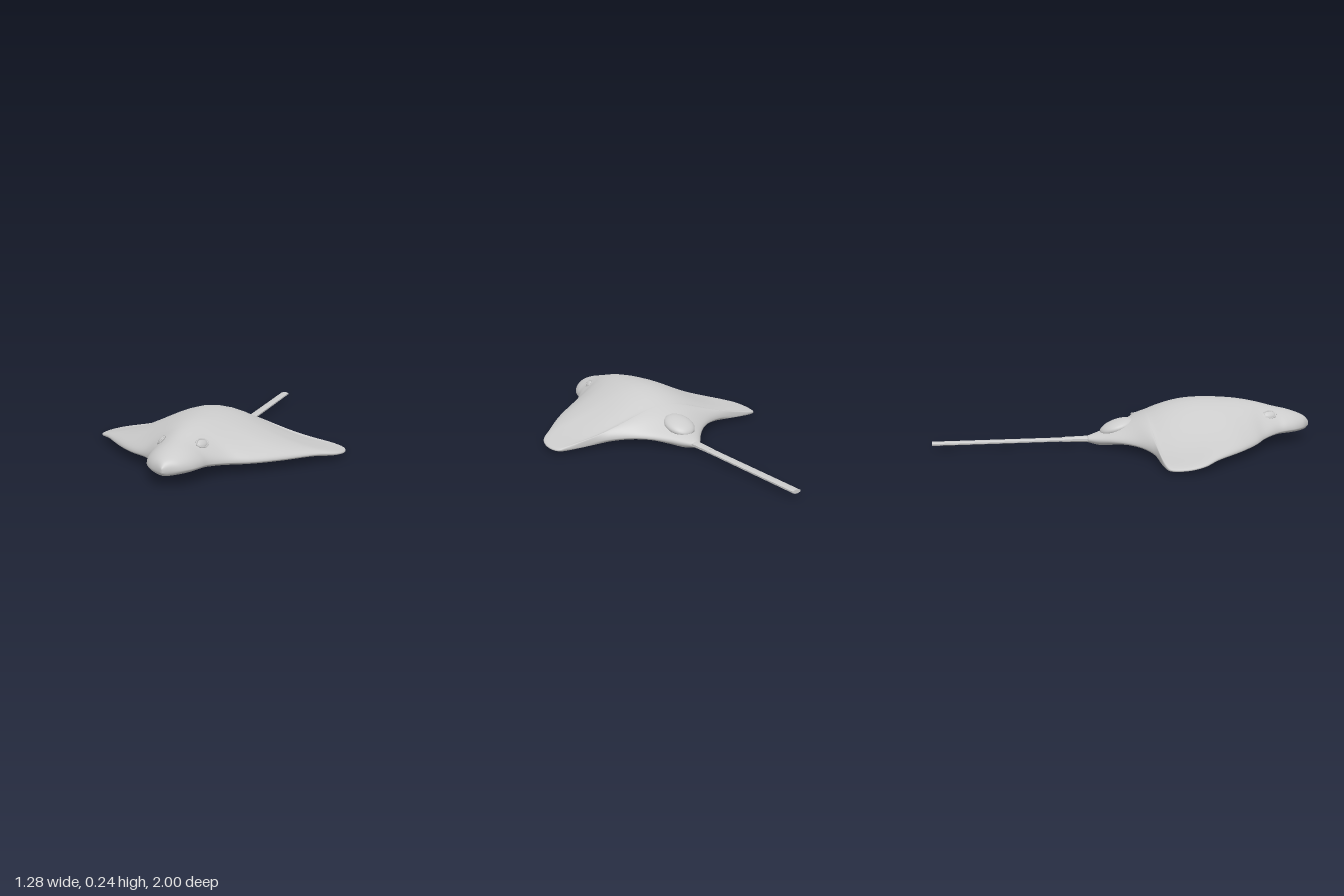
import * as THREE from 'three';

const grey = () => new THREE.MeshStandardMaterial({ color: 0xcccccc, roughness: 0.8 });

// Half outline from nose to tail root: half width, rim height, z
const outline = new THREE.CatmullRomCurve3([
  [0.003, 0.09, 1], [0.035, 0.088, 0.98], [0.075, 0.086, 0.95], [0.112, 0.085, 0.9],
  [0.132, 0.084, 0.85], [0.147, 0.08, 0.8], [0.18, 0.074, 0.75], [0.225, 0.068, 0.7],
  [0.31, 0.062, 0.635], [0.42, 0.058, 0.53], [0.55, 0.052, 0.38], [0.62, 0.04, 0.3],
  [0.642, 0.03, 0.215], [0.625, 0.028, 0.135], [0.585, 0.034, 0.117], [0.39, 0.048, 0.1],
  [0.27, 0.053, 0.055], [0.18, 0.053, -0.01], [0.105, 0.048, -0.09], [0.06, 0.042, -0.15],
  [0.024, 0.04, -0.2],
].map((p) => new THREE.Vector3(...p)));

// Centre-line profile: z, back height, belly height, width of the central swelling
const profile = [
  [1, 0.1, 0.078, 0.3], [0.98, 0.125, 0.062, 0.3], [0.94, 0.147, 0.056, 0.3],
  [0.88, 0.168, 0.052, 0.28], [0.8, 0.188, 0.05, 0.24], [0.7, 0.215, 0.045, 0.21],
  [0.6, 0.234, 0.04, 0.25], [0.5, 0.243, 0.037, 0.3], [0.4, 0.246, 0.035, 0.32],
  [0.3, 0.239, 0.034, 0.33], [0.2, 0.215, 0.034, 0.33], [0.1, 0.174, 0.034, 0.3],
  [0, 0.128, 0.028, 0.25], [-0.08, 0.095, 0.014, 0.2], [-0.14, 0.074, 0.01, 0.2],
  [-0.2, 0.055, 0.025, 0.2],
];

function profileAt(z) {
  let i = 0;
  while (i < profile.length - 2 && profile[i + 1][0] > z) i++;
  const at = (k) => profile[Math.min(Math.max(k, 0), profile.length - 1)];
  const [p0, a, b, p3] = [at(i - 1), at(i), at(i + 1), at(i + 2)];
  const t = THREE.MathUtils.clamp((z - a[0]) / (b[0] - a[0]), 0, 1), h = b[0] - a[0];
  return [1, 2, 3].map((k) => {
    const m0 = ((b[k] - p0[k]) / (b[0] - p0[0])) * h;
    const m1 = ((p3[k] - a[k]) / (p3[0] - a[0])) * h;
    const t2 = t * t, t3 = t2 * t;
    return (2 * t3 - 3 * t2 + 1) * a[k] + (t3 - 2 * t2 + t) * m0
      + (3 * t2 - 2 * t3) * b[k] + (t3 - t2) * m1;
  });
}

// Height of the skin at fraction s of the half width w
function skinHeight(s, w, rim, z, upper) {
  const [top, belly, swell] = profileAt(z);
  const power = 2 + 6 * THREE.MathUtils.smoothstep(w, 0.16, 0.5);
  const round = Math.sqrt(Math.max(0, 1 - Math.abs(s) ** power));
  const lip = Math.min(0.02, (top - rim) * 0.5);
  if (upper) {
    const bell = Math.exp(-(((s * w) / swell) ** 2));
    return rim + (lip + (top - rim - lip) * bell) * round;
  }
  return rim + (THREE.MathUtils.lerp(belly, Math.min(belly, rim - 0.02), s ** 4) - rim) * round;
}

// Body and wings: rings swept from nose to tail root
function bodyGeometry(rings = 120, around = 64) {
  const pos = [], index = [];
  for (let i = 0; i <= rings; i++) {
    const { x: w, y: rim, z } = outline.getPoint(i / rings);
    for (let j = 0; j < around; j++) {
      const a = (j / around) * Math.PI * 2, s = Math.cos(a);
      pos.push(s * w, skinHeight(s, w, rim, z, Math.sin(a) >= 0), z);
      if (i === rings) continue;
      const p = i * around + j, q = i * around + ((j + 1) % around);
      index.push(p, p + around, q, q, p + around, q + around);
    }
  }
  // Close the nose and the tail root
  for (let j = 1; j < around - 1; j++) {
    const e = rings * around;
    index.push(0, j, j + 1, e, e + j + 1, e + j);
  }
  const g = new THREE.BufferGeometry();
  g.setAttribute('position', new THREE.Float32BufferAttribute(pos, 3));
  g.setIndex(index);
  g.computeVertexNormals();
  return g;
}

export function createModel() {
  const group = new THREE.Group();
  const add = (name, geometry, parent = group) => {
    const mesh = new THREE.Mesh(geometry, grey());
    mesh.name = name;
    parent.add(mesh);
    return mesh;
  };

  add('bodyAndWings', bodyGeometry());

  // Low fin in front of the tail
  const fin = add('dorsalFin', new THREE.SphereGeometry(1, 28, 18));
  fin.scale.set(0.078, 0.036, 0.095);
  fin.position.set(0, 0.103, -0.04);
  fin.rotation.x = -0.32;

  // Eyes: a pointed lid ring around a shallow eyeball on each side of the head
  for (const side of [1, -1]) {
    const eye = new THREE.Group();
    eye.name = side > 0 ? 'leftEye' : 'rightEye';
    const lid = add('eyelid', new THREE.TorusGeometry(0.03, 0.005, 6, 8), eye);
    lid.scale.set(1.25, 0.8, 1);
    const ball = add('eyeball', new THREE.SphereGeometry(1, 16, 10), eye);
    ball.scale.set(0.034, 0.021, 0.009);
    const x = 0.1, z = 0.755;
    eye.position.set(side * x, skinHeight(x / 0.177, 0.177, 0.075, z, true), z);
    eye.lookAt(side * (x + 0.65), eye.position.y + 0.7, z + 0.2);
    group.add(eye);
  }

  // Flat faceted tail with a thicker root
  const tailPart = (name, rx, ry, zFront, zBack, taper) => {
    const g = new THREE.CylinderGeometry(1, taper, zFront - zBack, 8);
    g.rotateY(Math.PI / 8).rotateX(Math.PI / 2).scale(rx, ry, 1);
    const mesh = add(name, g);
    mesh.material.flatShading = true;
    mesh.position.set(0, 0.041, (zFront + zBack) / 2);
  };
  tailPart('tail', 0.024, 0.01, -0.15, -1, 1);
  tailPart('tailRoot', 0.029, 0.016, -0.16, -0.33, 0.8);

  return group;
}
